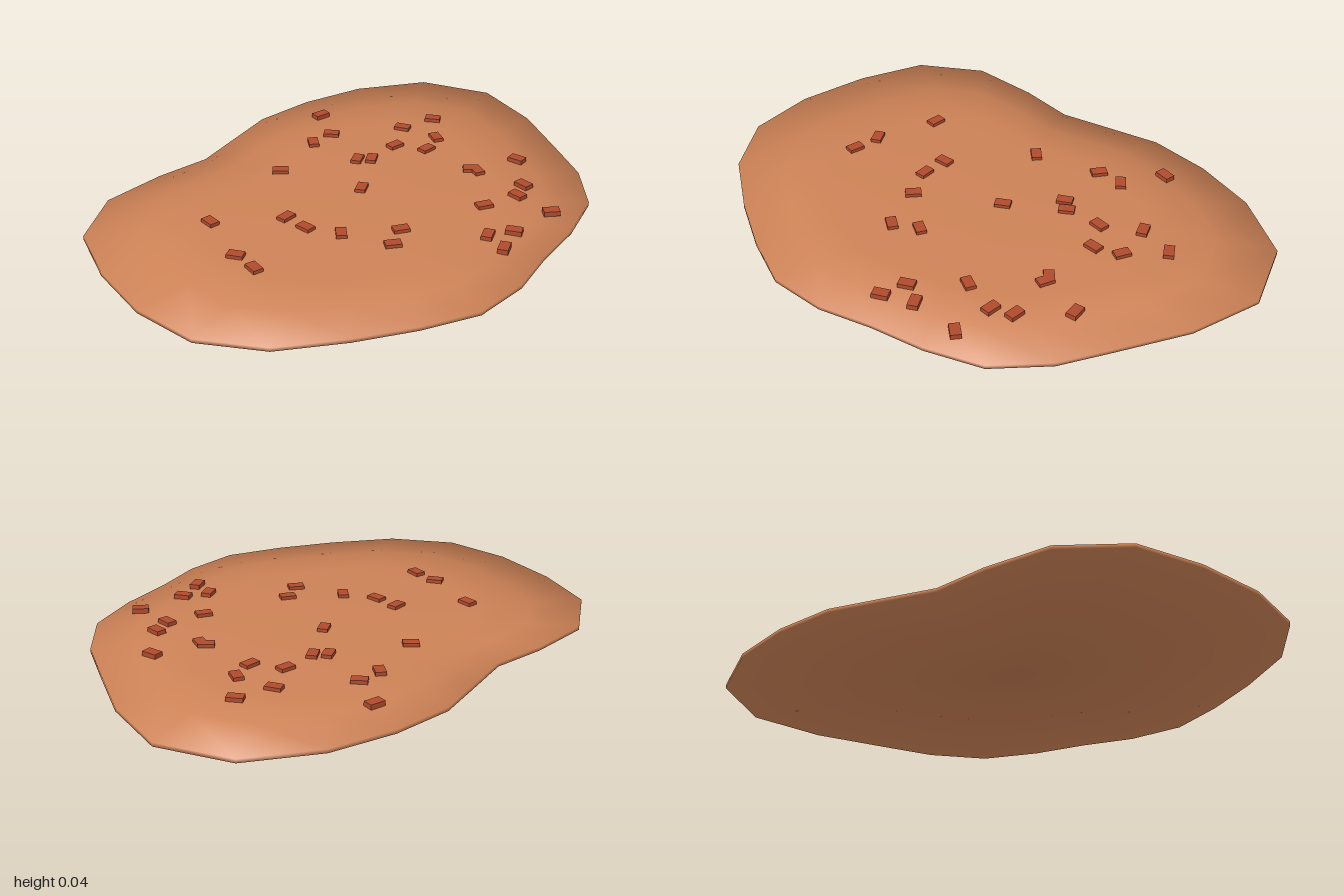
import * as THREE from 'three';

// Rim of the ground patch as [x, z]
const RIM = [
  [-1, -0.02], [-0.95, -0.28], [-0.855, -0.515], [-0.645, -0.66], [-0.4, -0.675], [-0.195, -0.66],
  [0, -0.715], [0.18, -0.765], [0.41, -0.757], [0.65, -0.7], [0.89, -0.555], [1, -0.3],
  [0.935, -0.03], [0.81, 0.22], [0.72, 0.395], [0.57, 0.56], [0.37, 0.64], [0.17, 0.685],
  [-0.02, 0.745], [-0.23, 0.757], [-0.43, 0.68], [-0.63, 0.575], [-0.84, 0.435], [-0.98, 0.23],
];

// Cross-section from top centre to bottom centre: [scale, y, normal outward, normal up]
const SECTION = [
  [0, 0.027, 0, 1], [0.6, 0.026, 0.05, 1], [0.8, 0.022, 0.35, 1], [1, 0.014, 1, 0.9],
  [1, 0, 1, -0.9], [0, 0, 0, -1],
];

// Scattered bricks: [x, z, turn in degrees]
const BRICKS = [
  [0.35, -0.605, -8], [0.165, -0.45, 55], [0.265, -0.455, -50], [-0.075, -0.37, -42], [-0.5, -0.26, 86],
  [0.19, -0.235, 30], [0.23, -0.2, 35], [0.37, -0.215, -5], [0.5, -0.3, -65], [0.64, -0.27, -55],
  [0.53, -0.15, 65], [0.435, -0.11, 0], [0.045, -0.065, 32], [-0.29, -0.1, 5], [-0.58, -0.03, -60],
  [-0.59, 0.075, 80], [-0.29, 0, -87], [-0.23, 0.115, 50], [-0.065, 0.24, -28], [-0.155, 0.29, -33],
  [0.265, 0.33, -25], [0.435, 0.115, -45], [0.44, 0.14, 70], [0.615, 0.185, -80], [0.48, 0.33, 88],
  [0.405, 0.365, 88], [0.12, 0.475, 28], [0.205, 0.52, -60], [0.095, 0.57, 28], [0.4, 0.525, -38],
];

// Thin, softly rounded slab lofted through scaled copies of the rim
function patchGeometry() {
  const positions = [], normals = [], index = [];
  const n = RIM.length;
  const normal = new THREE.Vector3();
  SECTION.forEach(([scale, y, out, up], ring) => {
    RIM.forEach(([x, z], i) => {
      const [ax, az] = RIM[(i + n - 1) % n];
      const [bx, bz] = RIM[(i + 1) % n];
      const length = Math.hypot(bx - ax, bz - az);
      normal.set(out * (bz - az) / length, up, -out * (bx - ax) / length).normalize();
      positions.push(x * scale, y, z * scale);
      normals.push(normal.x, normal.y, normal.z);
      if (ring === SECTION.length - 1) return;
      const a = ring * n + i, b = ring * n + (i + 1) % n;
      if (ring > 0) index.push(a, b, a + n);
      if (ring < SECTION.length - 2) index.push(b, b + n, a + n);
    });
  });
  const geometry = new THREE.BufferGeometry();
  geometry.setAttribute('position', new THREE.Float32BufferAttribute(positions, 3));
  geometry.setAttribute('normal', new THREE.Float32BufferAttribute(normals, 3));
  geometry.setIndex(index);
  return geometry;
}

export function createModel() {
  const group = new THREE.Group();
  group.name = 'brickRubblePatch';

  // Earth slab
  const earth = new THREE.MeshStandardMaterial({ color: 0xcd8256 });
  const patch = new THREE.Mesh(patchGeometry(), earth);
  // Outward normals follow the rim direction
  const normals = patch.geometry.attributes.normal;
  const positions = patch.geometry.attributes.position;
  for (let i = 0; i < normals.count; i++) {
    const dot = normals.getX(i) * positions.getX(i) + normals.getZ(i) * positions.getZ(i);
    if (dot < 0) normals.setXYZ(i, -normals.getX(i), normals.getY(i), -normals.getZ(i));
  }
  patch.name = 'groundPatch';
  group.add(patch);

  // Loose bricks
  const bricks = new THREE.Group();
  bricks.name = 'bricks';
  const brickGeometry = new THREE.BoxGeometry(0.058, 0.018, 0.038);
  const clay = new THREE.MeshStandardMaterial({ color: 0xb04a2c });
  BRICKS.forEach(([x, z, turn], i) => {
    const brick = new THREE.Mesh(brickGeometry, clay);
    brick.name = `brick${i + 1}`;
    brick.position.set(x, 0.03, z);
    brick.rotation.y = THREE.MathUtils.degToRad(turn);
    bricks.add(brick);
  });
  group.add(bricks);
  return group;
}
